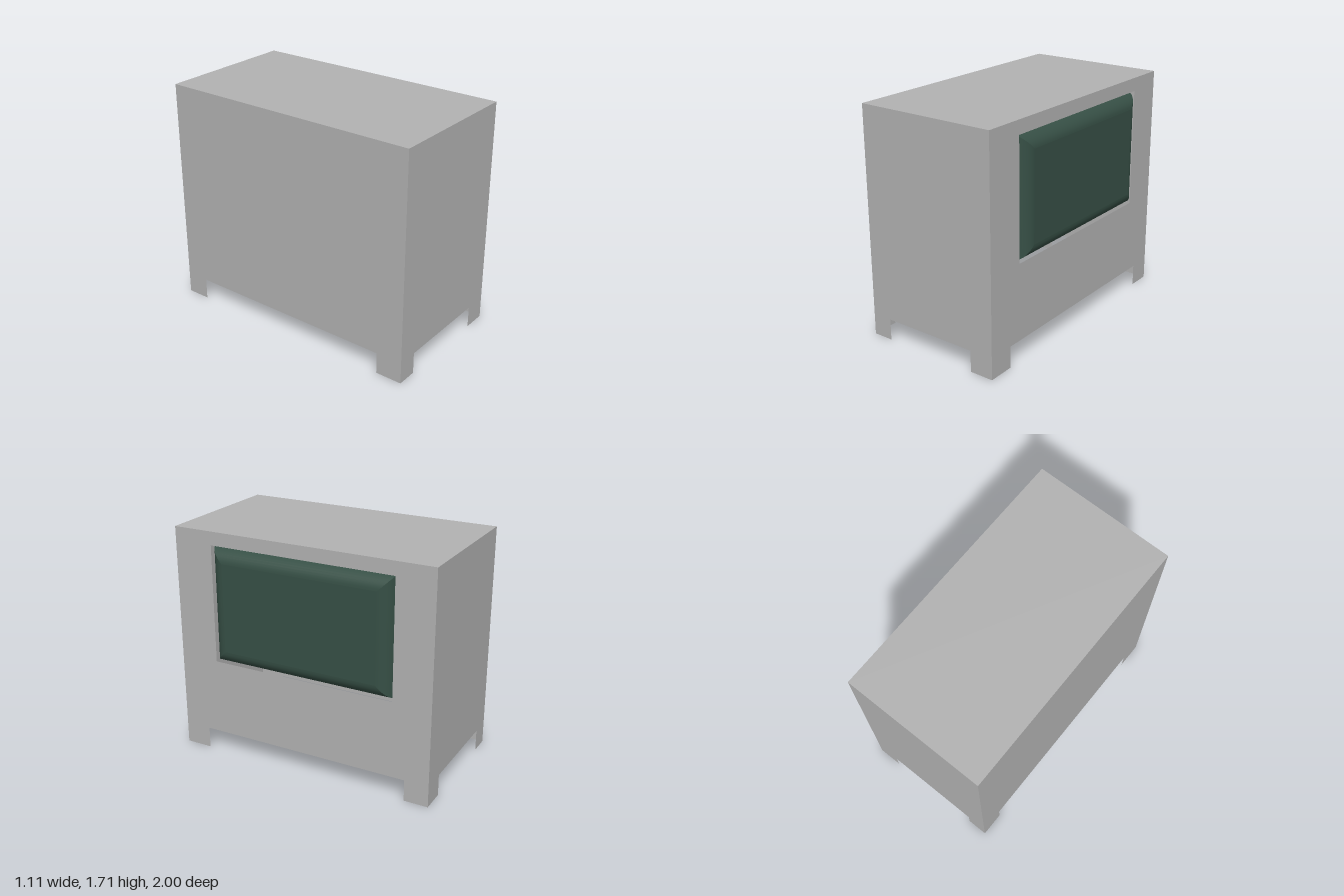
import * as THREE from 'three';

const X0 = -0.555, X1 = 0.515, Z = 1, TOP = 1.71, LEG = 0.16;

// Thin wall with a leg at each end; a..b is the span, c..d the gap between the legs
function wallShape(a, b, c, d) {
  return new THREE.Shape([
    [a, 0], [c, 0], [c, LEG], [d, LEG], [d, 0], [b, 0], [b, TOP], [a, TOP],
  ].map(([u, v]) => new THREE.Vector2(u, v)));
}

// Bulging pane: four curved, mitred borders around a flat centre
function paneParts(z0, z1, y0, y1, xRim, height, inset, steps = 10) {
  const ring = (i) => {
    const t = (i / steps) * Math.PI / 2;
    const u = inset * (1 - Math.cos(t)), x = xRim + height * Math.sin(t);
    return [[x, y0 + u, z1 - u], [x, y0 + u, z0 + u], [x, y1 - u, z0 + u], [x, y1 - u, z1 - u]];
  };
  const build = (pos, index) => {
    const g = new THREE.BufferGeometry();
    g.setAttribute('position', new THREE.Float32BufferAttribute(pos, 3));
    g.setIndex(index);
    g.computeVertexNormals();
    return g;
  };
  const parts = [build(ring(steps).flat(), [0, 1, 2, 0, 2, 3])];
  for (let s = 0; s < 4; s++) {
    const pos = [], index = [];
    for (let i = 0; i <= steps; i++) {
      const r = ring(i);
      pos.push(...r[s], ...r[(s + 1) % 4]);
      if (i < steps) {
        const k = i * 2;
        index.push(k, k + 1, k + 3, k, k + 3, k + 2);
      }
    }
    parts.push(build(pos, index));
  }
  return parts;
}

export function createModel() {
  const model = new THREE.Group();
  model.name = 'cabinet';
  const grey = new THREE.MeshStandardMaterial({ color: 0xb2b2b2, side: THREE.DoubleSide });
  grey.name = 'grey casing';
  const green = new THREE.MeshStandardMaterial({ color: 0x364f45, side: THREE.DoubleSide });
  green.name = 'dark green glass';

  const add = (name, geometry, material, parent = model) => {
    const mesh = new THREE.Mesh(geometry, material);
    mesh.name = name;
    parent.add(mesh);
  };

  // Casing walls, open underneath
  add('frontWall', new THREE.ShapeGeometry(wallShape(X0, X1, -0.4, 0.335)).translate(0, 0, Z), grey);
  add('backWall', new THREE.ShapeGeometry(wallShape(-X1, -X0, -0.335, 0.4)).rotateY(Math.PI).translate(0, 0, -Z), grey);
  add('leftoverSideWall', new THREE.ShapeGeometry(wallShape(-Z, Z, -0.82, 0.8)).rotateY(-Math.PI / 2).translate(X0, 0, 0), grey);

  // Side wall with the window opening
  const windowWall = wallShape(-Z, Z, -0.8, 0.82);
  windowWall.holes.push(new THREE.Path([
    [-0.7, 0.73], [-0.7, 1.61], [0.715, 1.61], [0.715, 0.73],
  ].map(([u, v]) => new THREE.Vector2(u, v))));
  add('windowWall', new THREE.ShapeGeometry(windowWall).rotateY(Math.PI / 2).translate(X1, 0, 0), grey);

  // Top panel
  add('topPanel', new THREE.PlaneGeometry(X1 - X0, 2 * Z).rotateX(-Math.PI / 2).translate((X0 + X1) / 2, TOP, 0), grey);

  // Bulging screen set into the opening, its rim behind the wall
  const screen = new THREE.Group();
  screen.name = 'screen';
  model.add(screen);
  paneParts(-0.715, 0.7, 0.73, 1.61, 0.425, 0.13, 0.11).forEach((g, i) =>
    add(i ? 'screenBorder' + i : 'screenCentre', g, green, screen));

  return model;
}
